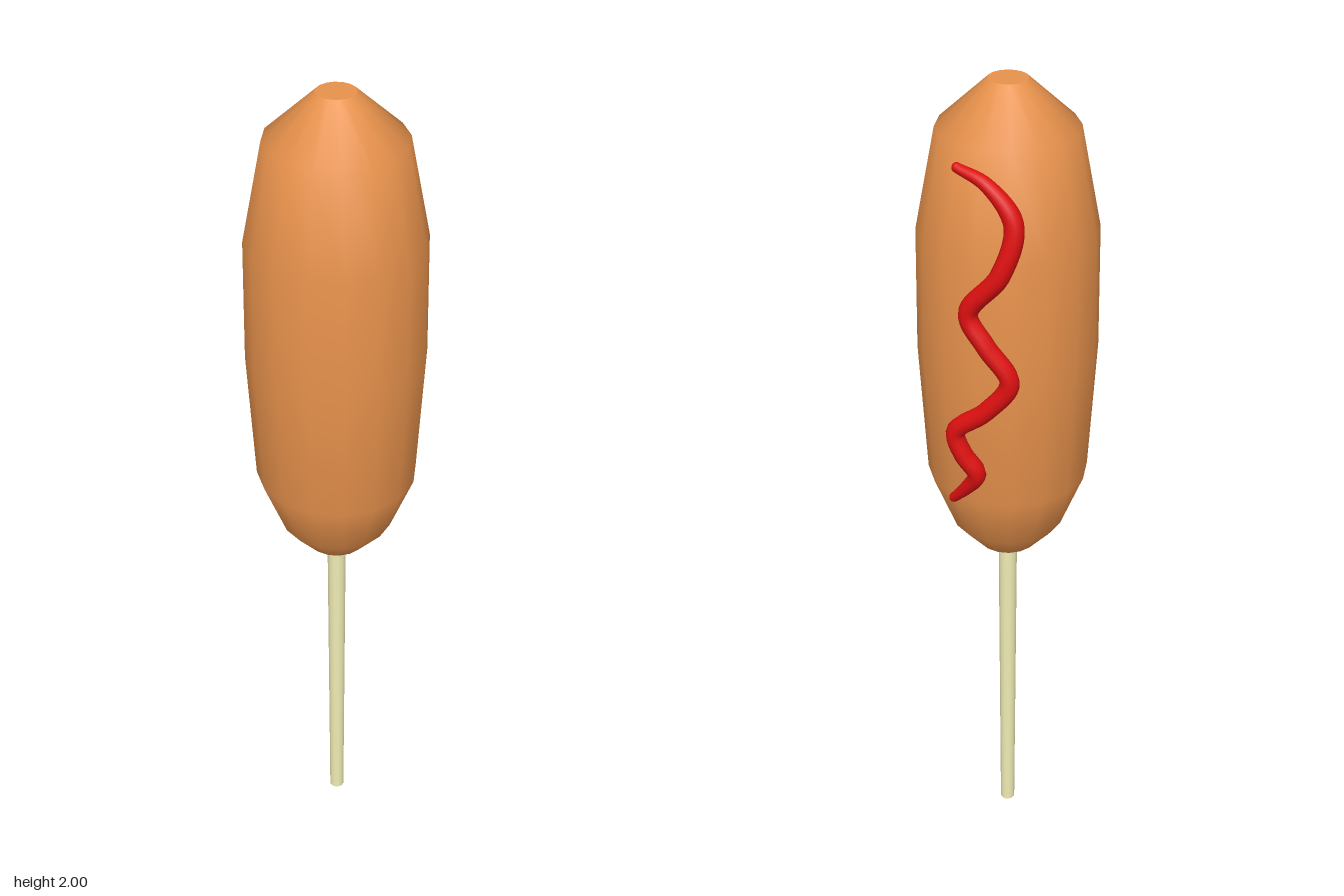
import * as THREE from 'three';

const AXIS_Z = 0.018; // the body and stick sit slightly forward of centre

function part(name, geometry, color) {
  const mesh = new THREE.Mesh(geometry, new THREE.MeshStandardMaterial({ color }));
  mesh.name = name;
  return mesh;
}

// Tube along a curve, thinned towards both ends, with closed tips
function taperedTube(curve, segments, radius, sides) {
  const geometry = new THREE.TubeGeometry(curve, segments, radius, sides);
  const pos = geometry.attributes.position;
  const v = new THREE.Vector3();
  for (let i = 0; i <= segments; i++) {
    const t = i / segments;
    const centre = curve.getPointAt(t);
    const scale = 0.5 + 0.5 * Math.min(1, t / 0.15, (1 - t) / 0.12);
    for (let j = 0; j <= sides; j++) {
      const k = i * (sides + 1) + j;
      v.fromBufferAttribute(pos, k).sub(centre).multiplyScalar(scale).add(centre);
      pos.setXYZ(k, v.x, v.y, v.z);
    }
  }
  geometry.computeVertexNormals();
  return geometry;
}

export function createModel() {
  const group = new THREE.Group();
  const batterColor = 0xe8924c;

  // Batter: faceted outline, smooth shading, 16 sides
  const profile = [
    [0, 0.82], [0.025, 0.82], [0.07, 0.84], [0.132, 0.91], [0.187, 1.05],
    [0.205, 1.37], [0.202, 1.66], [0.157, 1.895], [0.044, 2],
  ].map(([r, y]) => new THREE.Vector2(r, y));
  const batter = part('batter', new THREE.LatheGeometry(profile, 16), batterColor);
  batter.position.z = AXIS_Z;
  group.add(batter);

  // Flat top
  const top = part('batterTop', new THREE.CircleGeometry(0.044, 16), batterColor);
  top.rotation.x = -Math.PI / 2;
  top.position.set(0, 2, AXIS_Z);
  group.add(top);

  // Stick, a little thinner at the foot
  const stick = part('stick', new THREE.CylinderGeometry(0.023, 0.018, 0.9, 12), 0xf0ecb4);
  stick.position.set(0, 0.45, AXIS_Z);
  group.add(stick);

  // Sauce squiggle down the back
  const path = [
    [0.05, 1.86, -0.153], [-0.02, 1.835, -0.163], [-0.082, 1.76, -0.171],
    [-0.06, 1.65, -0.192], [0.012, 1.55, -0.196], [-0.03, 1.48, -0.2],
    [-0.083, 1.4, -0.196], [-0.03, 1.32, -0.2], [0.042, 1.255, -0.202],
    [0.025, 1.2, -0.202], [-0.005, 1.15, -0.195], [0.025, 1.1, -0.185],
    [0.06, 1.06, -0.175],
  ].map((p) => new THREE.Vector3(...p));
  const curve = new THREE.CatmullRomCurve3(path);
  const sauce = new THREE.Group();
  sauce.name = 'sauce';
  sauce.add(part('sauceLine', taperedTube(curve, 90, 0.022, 10), 0xdd1010));
  for (const t of [0, 1]) {
    const tip = part('sauceTip', new THREE.SphereGeometry(0.011, 10, 8), 0xdd1010);
    tip.position.copy(curve.getPointAt(t));
    sauce.add(tip);
  }
  group.add(sauce);

  return group;
}
